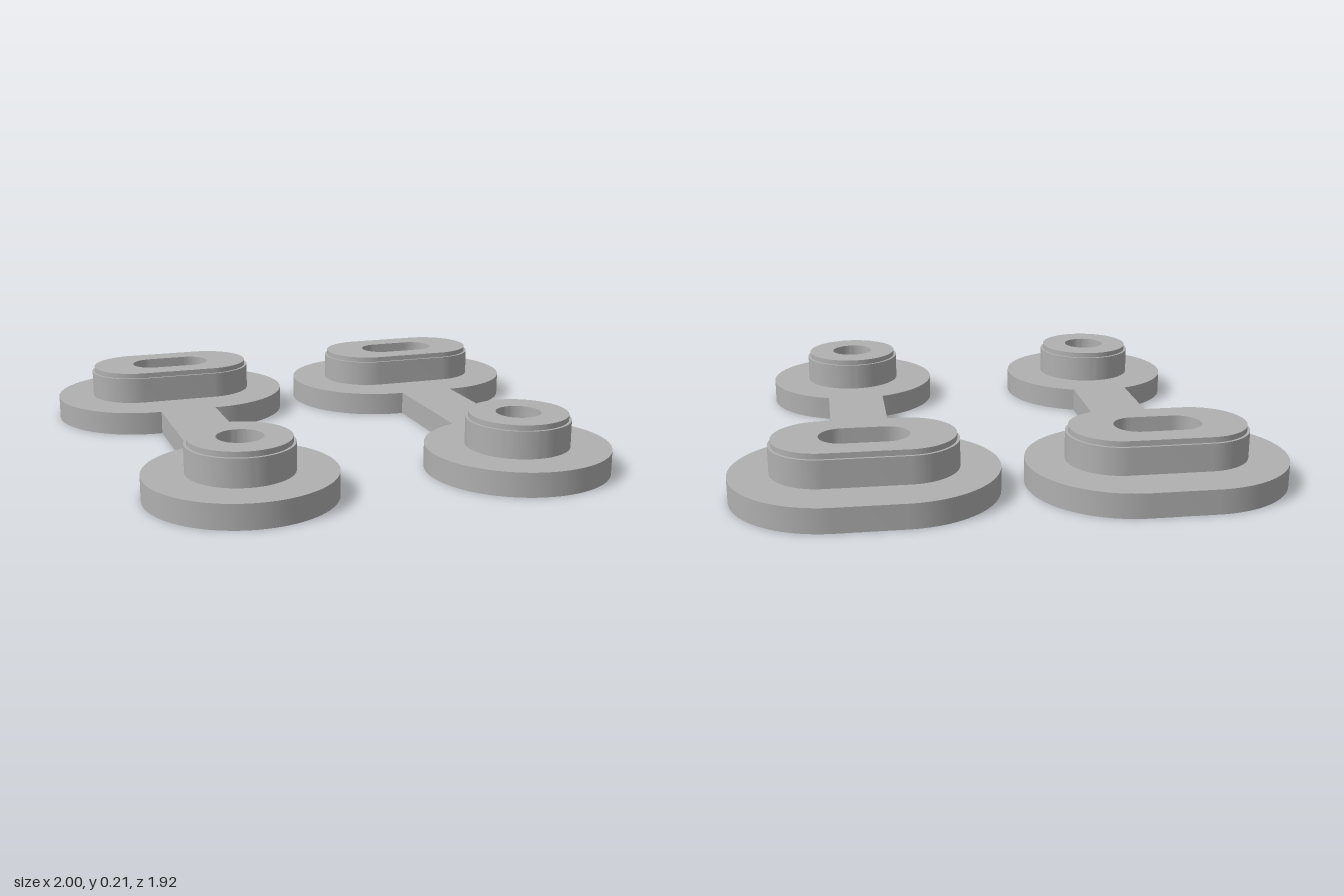
import * as THREE from 'three';
import { toCreasedNormals } from 'three/addons/utils/BufferGeometryUtils.js';

const STEM = 0.112;   // half width of the connecting bar
const SLOT_Z = -0.608, ROUND_Z = 0.59;
const PLATE_TOP = 0.09, LEDGE = 0.192, TOP = 0.212;

// Rounded slot outline; half = half length of its straight part (0 gives a circle)
function slot(half, r, y, PathType = THREE.Shape) {
  const p = new PathType();
  p.absarc(half, y, r, -Math.PI / 2, Math.PI / 2, false);
  p.absarc(-half, y, r, Math.PI / 2, Math.PI * 1.5, false);
  p.closePath();
  return p;
}

const slotHole = () => slot(0.077, 0.083, -SLOT_Z, THREE.Path);
const roundHole = () => slot(0, 0.083, -ROUND_Z, THREE.Path);

// Extrude a plan shape upward from y0 to y1
function slab(name, shape, holes, y0, y1, material) {
  shape.holes.push(...holes);
  const geo = new THREE.ExtrudeGeometry(shape, { depth: y1 - y0, bevelEnabled: false, curveSegments: 32 });
  geo.rotateX(-Math.PI / 2).translate(0, y0, 0);
  const mesh = new THREE.Mesh(toCreasedNormals(geo, 0.5), material);
  mesh.name = name;
  return mesh;
}

// Base outline: round pad, bar and slotted pad in one piece
function plateShape() {
  const r = 0.343, R = 0.358, half = 0.12;
  const d = Math.asin(STEM / r);
  const s = new THREE.Shape();
  s.absarc(0, -ROUND_Z, r, Math.PI / 2 + d, Math.PI * 2.5 - d, false);
  s.lineTo(STEM, -SLOT_Z - R);
  s.absarc(half, -SLOT_Z, R, -Math.PI / 2, Math.PI / 2, false);
  s.absarc(-half, -SLOT_Z, R, Math.PI / 2, Math.PI * 1.5, false);
  s.lineTo(-STEM, -SLOT_Z - R);
  s.closePath();
  return s;
}

function link(name, material) {
  const g = new THREE.Group();
  g.name = name;
  g.add(slab('basePlate', plateShape(), [slotHole(), roundHole()], 0, PLATE_TOP, material));
  // Raised bosses, each with a narrow stepped rim
  g.add(slab('slotBoss', slot(0.147, 0.187, -SLOT_Z), [slotHole()], PLATE_TOP, LEDGE, material));
  g.add(slab('slotBossRim', slot(0.147, 0.177, -SLOT_Z), [slotHole()], LEDGE, TOP, material));
  g.add(slab('roundBoss', slot(0, 0.193, -ROUND_Z), [roundHole()], PLATE_TOP, LEDGE, material));
  g.add(slab('roundBossRim', slot(0, 0.183, -ROUND_Z), [roundHole()], LEDGE, TOP, material));
  return g;
}

export function createModel() {
  const grey = new THREE.MeshStandardMaterial({ color: 0xb0b0b0 });
  grey.name = 'grey';

  const model = new THREE.Group();
  model.name = 'linkPair';
  const right = link('rightLink', grey);
  right.position.set(-0.522, 0, 0);
  const left = link('leftLink', grey);
  left.position.set(0.522, 0, 0.025);
  model.add(right, left);
  return model;
}
